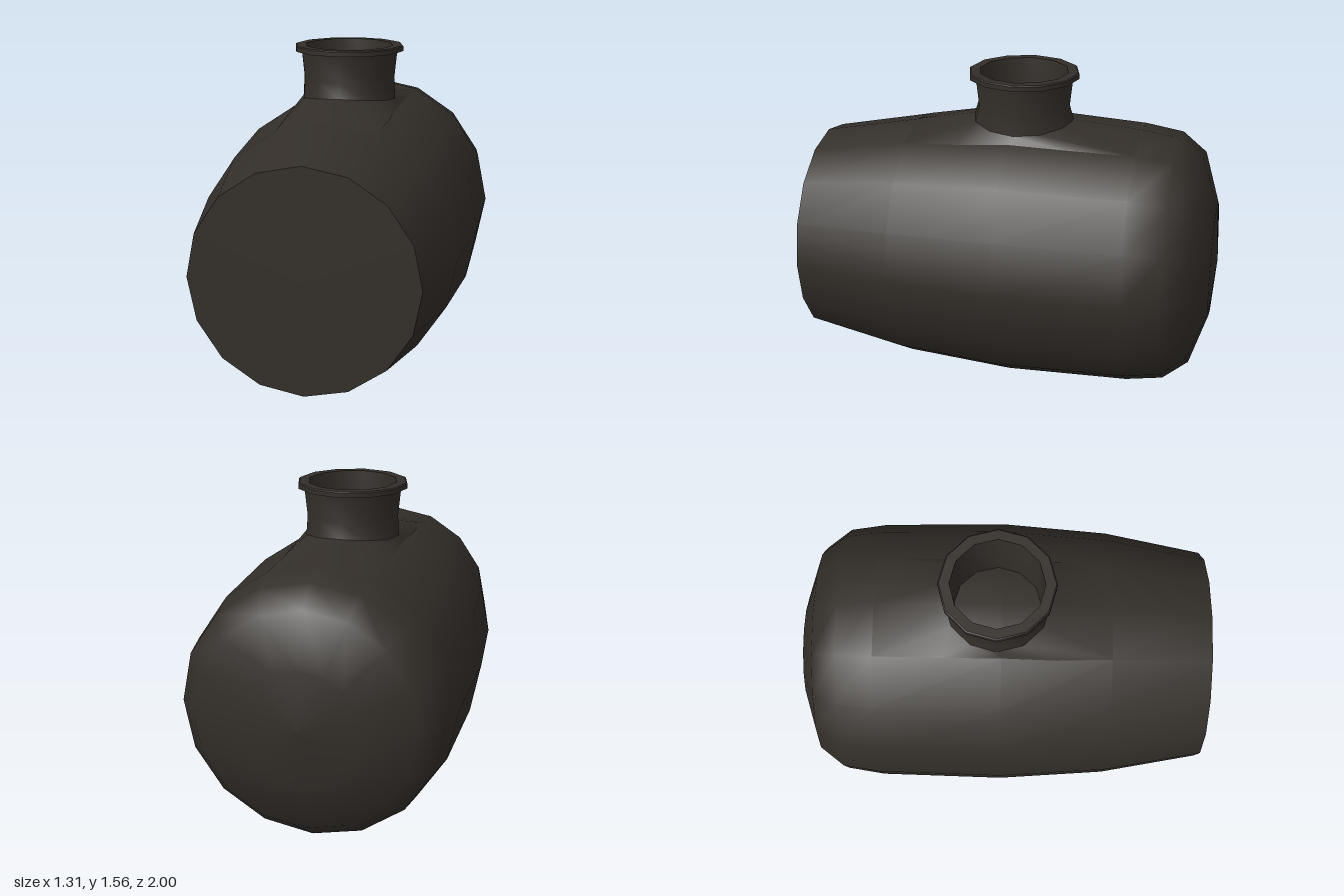
import * as THREE from 'three';
import { toCreasedNormals } from 'three/addons/utils/BufferGeometryUtils.js';

const AXIS_Y = 0.657;   // height of the barrel axis
const NECK_Z = -0.02;   // neck centre along the barrel
const SEGS = 12;        // sides of the neck
const material = new THREE.MeshStandardMaterial({ color: 0x332e29, side: THREE.DoubleSide });

// barrel profile: [z, radius] from the domed back to the flat front
const BARREL = [[-1, 0], [-0.98, 0.28], [-0.9, 0.523], [-0.78, 0.615], [-0.6, 0.643],
  [0, 0.655], [0.52, 0.615], [1, 0.523]];

function barrelRadius(z) {
  for (let i = 1; i < BARREL.length; i++) {
    const [z0, r0] = BARREL[i - 1], [z1, r1] = BARREL[i];
    if (z <= z1) return THREE.MathUtils.lerp(r0, r1, (z - z0) / (z1 - z0));
  }
  return 0.523;
}

// saddle-shaped seam where the neck meets the shoulder
function seamPoint(k) {
  const a = (k / SEGS) * Math.PI * 2;
  const c = Math.cos(a);
  return [0.232 * Math.sin(a), 1.3 + 0.027 * c * c, NECK_Z + 0.247 * c];
}

function makeShoulder() {
  // half of the outer edge on the barrel, mirrored for the other side
  const half = [[0, 0.52], [0.235, 0.52], [0.25, 0.26], [0.25, 0], [0.25, -0.27], [0.245, -0.6], [0, -0.6]];
  const pos = [], index = [];
  for (let k = 0; k < SEGS; k++) {
    const [hx, z] = half[k <= 6 ? k : SEGS - k];
    const x = k <= 6 ? hx : -hx;
    pos.push(...seamPoint(k), x, AXIS_Y + barrelRadius(z) - 0.199 * hx + 0.001, z);
    const a = k * 2, b = ((k + 1) % SEGS) * 2;
    index.push(a, a + 1, b + 1, a, b + 1, b);
  }
  const geo = new THREE.BufferGeometry();
  geo.setAttribute('position', new THREE.Float32BufferAttribute(pos, 3));
  geo.setIndex(index);
  geo.computeVertexNormals();
  return geo;
}

function makeNeck() {
  // outside going up, over the lip, then down the inside
  const profile = [[0.232, 1.3], [0.226, 1.4], [0.24, 1.533], [0.27, 1.533], [0.27, 1.555],
    [0.264, 1.56], [0.217, 1.56], [0.205, 1.4], [0.205, 1.27]];
  const geo = new THREE.LatheGeometry(profile.map(([r, y]) => new THREE.Vector2(r, y)), SEGS);
  const p = geo.attributes.position;
  for (let i = 0; i < p.count; i++) {
    // the foot follows the seam
    if (i % profile.length === 0) p.setXYZ(i, ...seamPoint(i / profile.length));
    else p.setZ(i, p.getZ(i) + NECK_Z);
  }
  return toCreasedNormals(geo, 0.7);
}

export function createModel() {
  const group = new THREE.Group();
  const add = (name, geo) => {
    const mesh = new THREE.Mesh(geo, material);
    mesh.name = name;
    group.add(mesh);
    return mesh;
  };

  // barrel body lying along z
  const barrel = new THREE.LatheGeometry(BARREL.map(([z, r]) => new THREE.Vector2(r, z)), 16);
  barrel.rotateX(Math.PI / 2);
  add('barrel', barrel).position.y = AXIS_Y;

  // flat front end
  const end = new THREE.CircleGeometry(0.523, 16);
  add('frontEnd', end).position.set(0, AXIS_Y, 1);

  // raised shoulder and flared neck with lip
  add('shoulder', makeShoulder());
  add('neck', makeNeck());
  return group;
}
